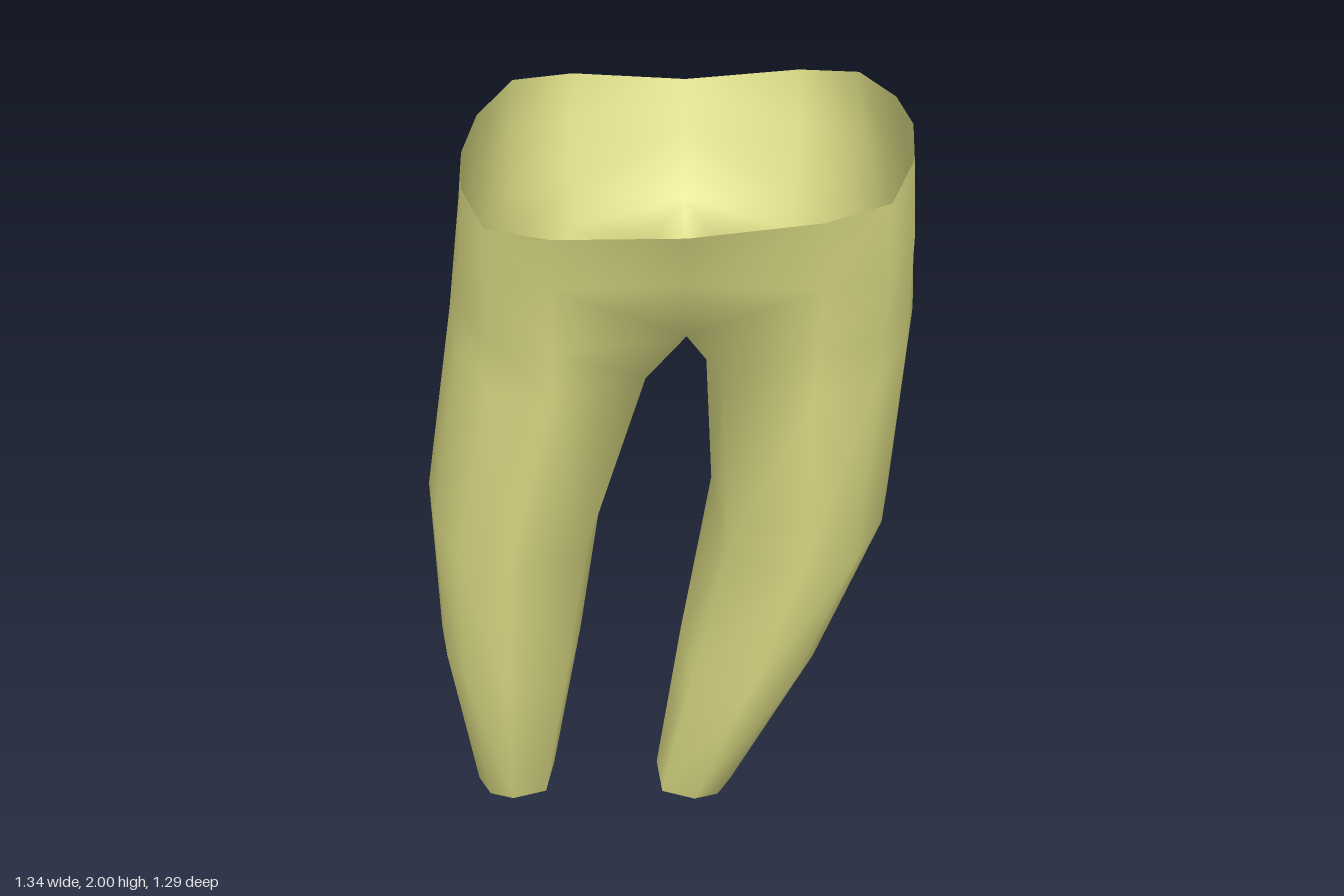
import * as THREE from 'three';
import { mergeVertices } from 'three/addons/utils/BufferGeometryUtils.js';

// Quarter outlines: [u, w], u sideways, w towards the front
const rootQuarter = [[0.85, 0.8], [0.05, 1], [-0.53, 0.87], [-0.86, 0.45]];
const rimQuarter = [[0, 1], [0.55, 0.965], [0.83, 0.83], [0.965, 0.4]];
const toBack = (quarter) => quarter.map(([u, w]) => [u, -w]).reverse();
const rootSection = [[1, 0], ...rootQuarter, [-1, 0], ...toBack(rootQuarter)];
const rimSection = [...rimQuarter, [1, 0], ...toBack(rimQuarter)];

// Root heights with back and front z, and each root's [inner x, outer x] there
const levels = [[0.1, 0, 0.36], [0.5, -0.26, 0.41], [0.95, -0.44, 0.505], [1.48, -0.55, 0.555]];
const roots = [
  { side: -1, tipX: -0.45, walls: [[-0.33, -0.56], [-0.25, -0.65], [-0.18, -0.67], [-0.01, -0.59]] },
  { side: 1, tipX: 0.05, walls: [[-0.03, 0.2], [0.04, 0.44], [0.125, 0.62], [0.1, 0.665]] },
];
const middleX = 0.05;

function rootRing([y, back, front], [inner, outer]) {
  const lerp = THREE.MathUtils.lerp;
  return rootSection.map(([u, w]) =>
    [lerp(outer, inner, (u + 1) / 2), y, lerp(back, front, (w + 1) / 2)]);
}

// Half ring of the shared body, dented where the roots part
function bodyHalf(side) {
  return rimSection.map(([u, w]) =>
    [middleX + side * u * 0.603, 1.79, w * (u === 0 ? 0.57 : 0.615)]);
}

// Half of the wavy rim, higher on the left and dipping at the back
function rimHalf(side) {
  return rimSection.map(([u, w]) => {
    const slope = 0.04 + 0.03 * Math.min(w, 0);
    const dip = (1 - u) * (w > 0 ? 0.015 : 0.055);
    return [middleX + side * u * 0.59, 1.96 + slope * side * u - dip, w * 0.645];
  });
}

// Ring whose inner wall meets the ridge between the roots
function crotchRing(low, body) {
  const last = low.length - 1;
  return low.map((p, i) => {
    if (i === 0) return [middleX, 1.61, 0];
    if (i === 1) return [middleX, 1.61, 0.47];
    if (i === last) return [middleX, 1.61, -0.47];
    return p.map((v, k) => THREE.MathUtils.lerp(v, body[i - 1][k], 0.42));
  });
}

export function createModel() {
  const positions = [];

  for (const { side, tipX, walls } of roots) {
    const tri = (a, b, c) => positions.push(...a, ...(side > 0 ? b : c), ...(side > 0 ? c : b));
    const band = (low, high, closed) => {
      const n = low.length;
      for (let i = 0; i < (closed ? n : n - 1); i++) {
        const j = (i + 1) % n;
        tri(low[i], low[j], high[j]);
        tri(low[i], high[j], high[i]);
      }
    };

    // Closed rings from the pointed tip to the ridge
    const rings = levels.map((level, i) => rootRing(level, walls[i]));
    const body = bodyHalf(side);
    rings.push(crotchRing(rings[rings.length - 1], body));
    const tip = [tipX, 0, 0.18];
    rings[0].forEach((p, i, ring) => tri(tip, ring[(i + 1) % ring.length], p));
    for (let k = 0; k < rings.length - 1; k++) band(rings[k], rings[k + 1], true);

    // Open outer half of the body, up to the flared rim
    band(rings[rings.length - 1].slice(1), body, false);
    band(body, rimHalf(side), false);
  }

  // Welding both halves gives smooth normals across the seam
  let geometry = new THREE.BufferGeometry();
  geometry.setAttribute('position', new THREE.Float32BufferAttribute(positions, 3));
  geometry = mergeVertices(geometry, 1e-4);
  geometry.computeVertexNormals();

  const material = new THREE.MeshStandardMaterial({ color: 0xe0e088, side: THREE.DoubleSide });
  const shell = new THREE.Mesh(geometry, material);
  shell.name = 'twoRootedShell';

  const group = new THREE.Group();
  group.name = 'toothRoots';
  group.add(shell);
  return group;
}
